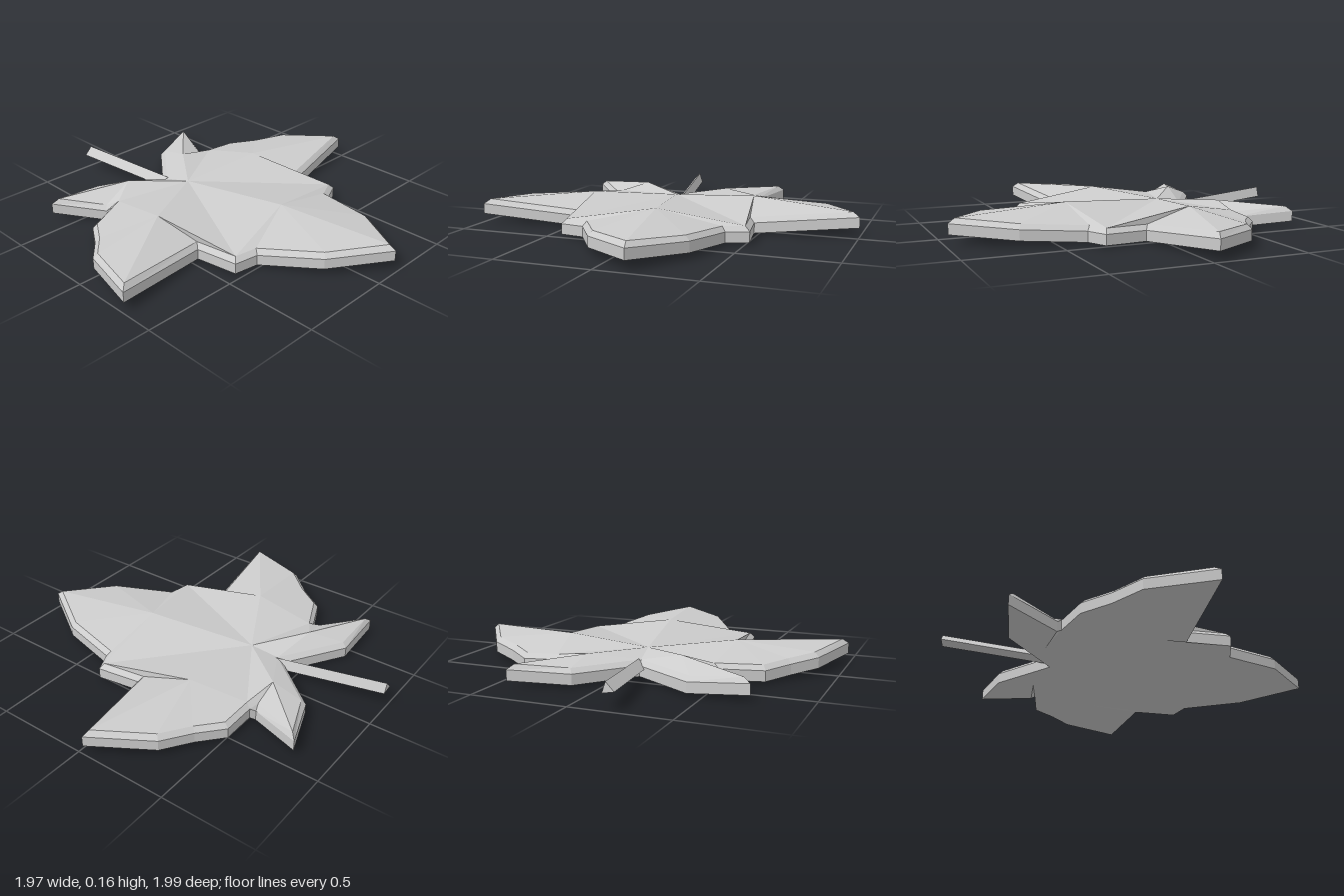
import * as THREE from 'three';

// Leaf centre and the raised vein point of each lobe: x, y, z
const centre = [-0.25, 0.12, 0.07];
const veins = {
  backSmall: [-0.52, 0.125, -0.14],
  back: [-0.2, 0.15, -0.4],
  tip: [0.34, 0.155, -0.04],
  front: [-0.03, 0.15, 0.48],
  frontSmall: [-0.45, 0.145, 0.33],
};

// Outline of each lobe, clockwise from above: x, z, height of the underside
const lobes = [
  ['backSmall', [[-0.43, 0.1, 0.01], [-0.71, -0.13, 0.01], [-0.82, -0.42, 0.03], [-0.535, -0.31, 0]]],
  ['back', [[-0.515, -0.335, 0.02], [-0.51, -0.51, 0.01], [-0.41, -0.64, 0.02], [-0.32, -0.8, 0.035],
    [-0.03, -1, 0.05], [0.08, -0.48, 0.005]]],
  ['tip', [[0.31, -0.52, 0.01], [0.36, -0.41, 0.01], [0.68, -0.34, 0.03], [0.98, -0.15, 0.05],
    [0.77, 0.13, 0.035], [0.49, 0.3, 0.01]]],
  ['front', [[0.47, 0.43, 0.01], [0.24, 0.46, 0.005], [0.32, 0.99, 0.05], [-0.02, 0.9, 0.035],
    [-0.15, 0.79, 0.02], [-0.29, 0.7, 0.01]]],
  ['frontSmall', [[-0.375, 0.505, 0.02], [-0.395, 0.53, 0], [-0.62, 0.72, 0.03], [-0.63, 0.42, 0.01]]],
];

// Collects separate triangles so that every face stays flat
function faceBuilder() {
  const data = [];
  const tri = (a, b, c) => data.push(...a, ...b, ...c);
  const quad = (a, b, c, d) => { tri(a, b, c); tri(a, c, d); };
  const build = () => {
    const geometry = new THREE.BufferGeometry();
    geometry.setAttribute('position', new THREE.Float32BufferAttribute(data, 3));
    geometry.computeVertexNormals();
    return geometry;
  };
  return { tri, quad, build };
}

// Unit normal pointing into the leaf from edge a-b
function inward(a, b) {
  return new THREE.Vector2(a[1] - b[1], b[0] - a[0]).normalize();
}

function leafGeometry() {
  const { tri, quad, build } = faceBuilder();
  const points = lobes.flatMap(([lobe, list]) => list.map((p) => ({ p, lobe })));
  const n = points.length;
  const at = (i) => points[(i + n) % n];

  // Each outline point gives an underside, shoulder and inset top corner
  const rings = points.map(({ p }, i) => {
    const n1 = inward(at(i - 1).p, p);
    const n2 = inward(p, at(i + 1).p);
    const inset = n1.clone().add(n2).multiplyScalar(0.024 / Math.max(0.3, 1 + n1.dot(n2)));
    inset.clampLength(0, 0.04);
    const [x, z, h] = p;
    return {
      low: [x, h, z],
      side: [x, h + 0.055, z],
      top: [x + inset.x, h + 0.08, z + inset.y],
    };
  });

  const under = ([x, , z]) => [x, 0.008, z];
  for (let i = 0; i < n; i++) {
    const a = rings[i];
    const b = rings[(i + 1) % n];
    const vein = veins[points[i].lobe];
    // Blade, underside, edge and bevel
    tri(vein, b.top, a.top);
    tri(under(vein), a.low, b.low);
    quad(b.low, a.low, a.side, b.side);
    quad(b.side, a.side, a.top, b.top);
    // Folds running from the centre to where two lobes meet
    const before = veins[at(i - 1).lobe];
    if (before !== vein) {
      tri(centre, a.top, before);
      tri(centre, vein, a.top);
      tri(under(centre), under(before), a.low);
      tri(under(centre), a.low, under(vein));
    }
  }
  return build();
}

// Three-sided stalk rising towards its free end
function stemGeometry() {
  const { tri, quad, build } = faceBuilder();
  const section = (x, y, z) => [[x, y, z - 0.03], [x, y + 0.055, z - 0.012], [x, y + 0.012, z + 0.03]];
  const outer = section(-0.985, 0.075, 0.195);
  const inner = section(-0.34, 0.035, 0.085);
  for (let i = 0; i < 3; i++) {
    const j = (i + 1) % 3;
    quad(outer[i], outer[j], inner[j], inner[i]);
  }
  tri(outer[2], outer[1], outer[0]);
  tri(inner[0], inner[1], inner[2]);
  return build();
}

export function createModel() {
  const group = new THREE.Group();
  group.name = 'leaf';
  const grey = new THREE.MeshStandardMaterial({ color: 0xcccccc });
  grey.name = 'light grey';
  grey.flatShading = true;
  grey.side = THREE.DoubleSide;

  const blade = new THREE.Mesh(leafGeometry(), grey);
  blade.name = 'blade';
  const stem = new THREE.Mesh(stemGeometry(), grey);
  stem.name = 'stem';
  group.add(blade, stem);
  return group;
}
